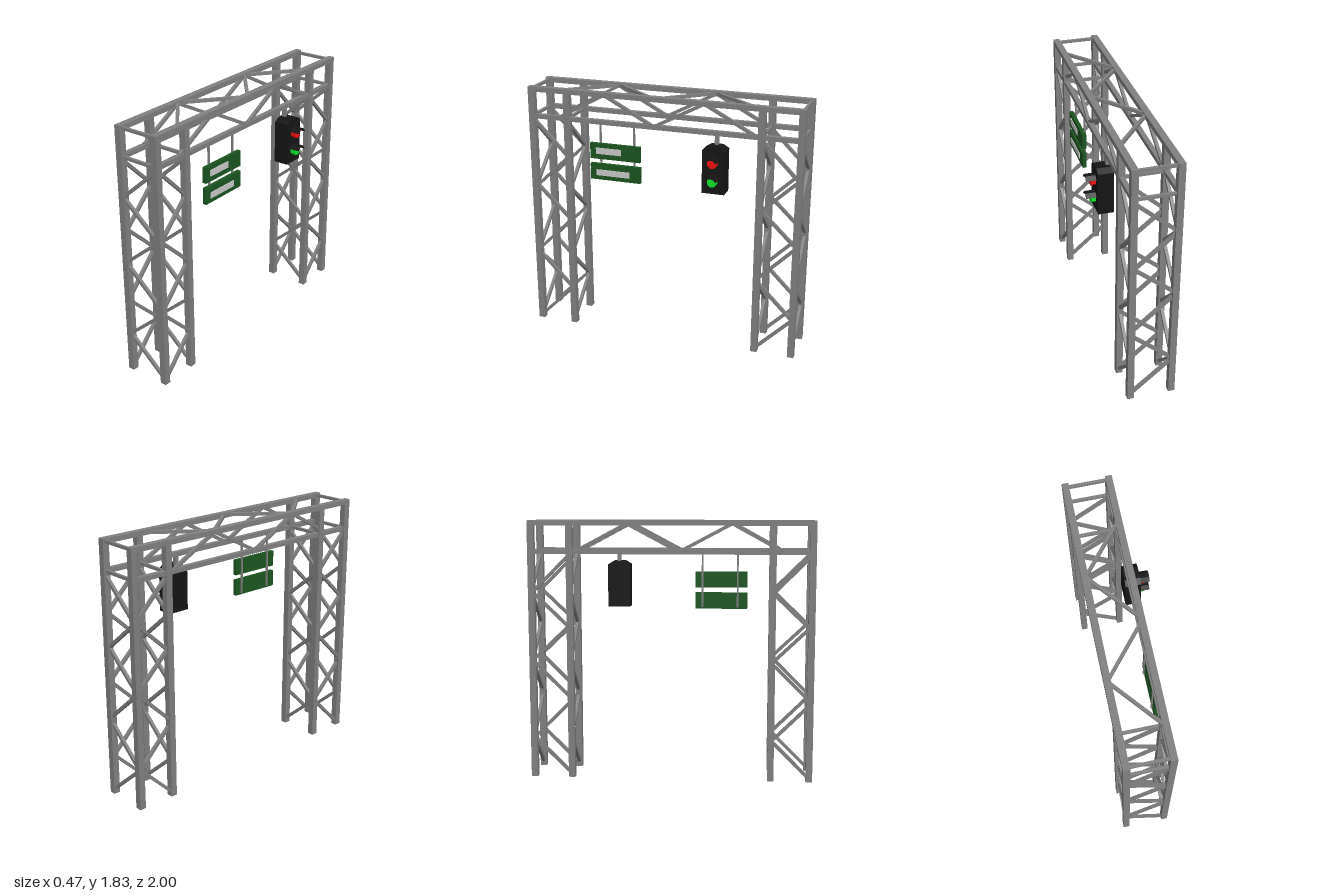
import * as THREE from 'three';

const mat = (color) => new THREE.MeshStandardMaterial({ color, flatShading: true });
const STEEL = mat(0x808080), BLACK = mat(0x151515), GREEN = mat(0x1b5520),
  PANEL = mat(0xcccccc), RED = mat(0xf01010), GO = mat(0x10e828);

const XS = [-0.2125, 0.0825];      // the two truss planes
const OUT = 0.9775, IN = 0.707;    // post positions along z
const POST = 0.046, BRACE = 0.022;

export function createModel() {
  const root = new THREE.Group();

  const group = (name) => {
    const g = new THREE.Group();
    g.name = name;
    root.add(g);
    return g;
  };
  const add = (parent, name, geo, material) => {
    const m = new THREE.Mesh(geo, material);
    m.name = name;
    parent.add(m);
    return m;
  };
  // box given by its minimum and maximum corners
  const box = (parent, name, a, b, material) => {
    const m = add(parent, name, new THREE.BoxGeometry(b[0] - a[0], b[1] - a[1], b[2] - a[2]), material);
    m.position.set((a[0] + b[0]) / 2, (a[1] + b[1]) / 2, (a[2] + b[2]) / 2);
    return m;
  };
  // square bar between two points
  const bar = (parent, name, a, b, t = BRACE) => {
    const p = new THREE.Vector3(...a), q = new THREE.Vector3(...b);
    const m = add(parent, name, new THREE.BoxGeometry(t, t, p.distanceTo(q)), STEEL);
    m.position.copy(p).add(q).multiplyScalar(0.5);
    m.lookAt(q);
    return m;
  };

  // Towers: four posts each, zigzag braces on all four faces
  const levels = [[0.04, 0.27], [0.30, 0.53], [0.59, 0.82], [0.86, 1.08], [1.09, 1.31], [1.34, 1.57]];
  for (const [name, zHigh, zLow] of [['frontTower', OUT, IN], ['rearTower', -IN, -OUT]]) {
    const tower = group(name);
    for (const z of [zHigh, zLow]) {
      const top = Math.abs(z) === OUT ? 1.825 : 1.80;
      for (const x of XS) {
        box(tower, 'post', [x - POST / 2, 0, z - POST / 2], [x + POST / 2, top, z + POST / 2], STEEL);
      }
    }
    levels.forEach(([y0, y1], i) => {
      const flip = i % 2;
      const [za, zb] = flip ? [zLow + 0.02, zHigh - 0.02] : [zHigh - 0.02, zLow + 0.02];
      for (const x of XS) bar(tower, 'sideBrace', [x, y0, za], [x, y1, zb]);
      const [xa, xb] = flip ? [XS[0] + 0.015, XS[1] - 0.015] : [XS[1] - 0.015, XS[0] + 0.015];
      for (const z of [zHigh, zLow]) bar(tower, 'endBrace', [xa, y0, z], [xb, y1, z]);
    });
  }

  // Overhead beam: chords, cross ties and bracing
  const beam = group('overheadBeam');
  for (const x of XS) {
    box(beam, 'upperChord', [x - POST / 2, 1.79, -1], [x + POST / 2, 1.825, 1], STEEL);
    box(beam, 'lowerChord', [x - 0.017, 1.593, -OUT], [x + 0.017, 1.625, OUT], STEEL);
    for (const [z0, z1, up] of [[0.76, 0.44, 1], [0.41, 0.08, 0], [0.04, -0.29, 1], [-0.32, -0.65, 0]]) {
      bar(beam, 'sideDiagonal', [x, up ? 1.62 : 1.795, z0], [x, up ? 1.795 : 1.62, z1]);
    }
  }
  for (const s of [-1, 1]) {
    for (const [y, z] of [[1.807, OUT], [1.609, OUT], [1.609, IN]]) {
      bar(beam, 'crossTie', [XS[0], y, s * z], [XS[1], y, s * z], 0.02);
    }
  }
  for (const [z0, z1, out] of [[-0.65, -0.31, 1], [-0.30, 0.03, 0], [0.08, 0.41, 1], [0.43, 0.76, 0]]) {
    const [xa, xb] = out ? [0.07, -0.205] : [-0.205, 0.07];
    bar(beam, 'topDiagonal', [xa, 1.807, z0], [xb, 1.807, z1]);
  }

  // Hanging signs: two boards with pale panels on a pair of rods
  const signs = group('hangingSigns');
  for (const z of [0.46, 0.207]) {
    box(signs, 'hangerRod', [0.068, 1.2, z - 0.006], [0.08, 1.6, z + 0.006], STEEL);
  }
  for (const [y0, y1, p0, p1, pz] of [[1.342, 1.455, 1.38, 1.425, 0.295], [1.188, 1.305, 1.22, 1.263, 0.235]]) {
    box(signs, 'signBoard', [0.077, y0, 0.155], [0.105, y1, 0.53], GREEN);
    box(signs, 'signPanel', [0.1, p0, pz], [0.111, p1, 0.485], PANEL);
  }

  // Signal: housing with clipped top, two lamps with hoods
  const signal = group('trafficSignal');
  const zc = -0.397;
  box(signal, 'signalHanger', [0.07, 1.5, zc - 0.013], [0.095, 1.6, zc + 0.013], STEEL);
  const outline = new THREE.Shape([[-0.08, 1.2], [0.08, 1.2], [0.08, 1.505], [0.04, 1.53], [-0.04, 1.53], [-0.08, 1.505]]
    .map(([x, y]) => new THREE.Vector2(x, y)));
  const housing = add(signal, 'signalHousing',
    new THREE.ExtrudeGeometry(outline, { depth: 0.108, bevelEnabled: false }), BLACK);
  housing.rotation.y = Math.PI / 2;
  housing.position.set(0.058, 0, zc);

  // half-octagon hood section
  const ring = [22.5, 67.5, 112.5, 157.5].map((d) => d * Math.PI / 180);
  const arc = (r, angles) => angles.map((a) => new THREE.Vector2(r * Math.cos(a), r * Math.sin(a)));
  const hoodShape = new THREE.Shape([...arc(0.047, ring), ...arc(0.037, [...ring].reverse())]);
  for (const [y, name, color] of [[1.425, 'red', RED], [1.293, 'green', GO]]) {
    const lamp = add(signal, name + 'Lamp', new THREE.CylinderGeometry(0.036, 0.036, 0.04, 8), color);
    lamp.geometry.rotateY(Math.PI / 8);
    lamp.rotation.z = -Math.PI / 2;
    lamp.position.set(0.18, y, zc);
    const hood = add(signal, name + 'Hood',
      new THREE.ExtrudeGeometry(hoodShape, { depth: 0.075, bevelEnabled: false }), BLACK);
    hood.rotation.y = Math.PI / 2;
    hood.position.set(0.16, y, zc);
  }
  return root;
}
